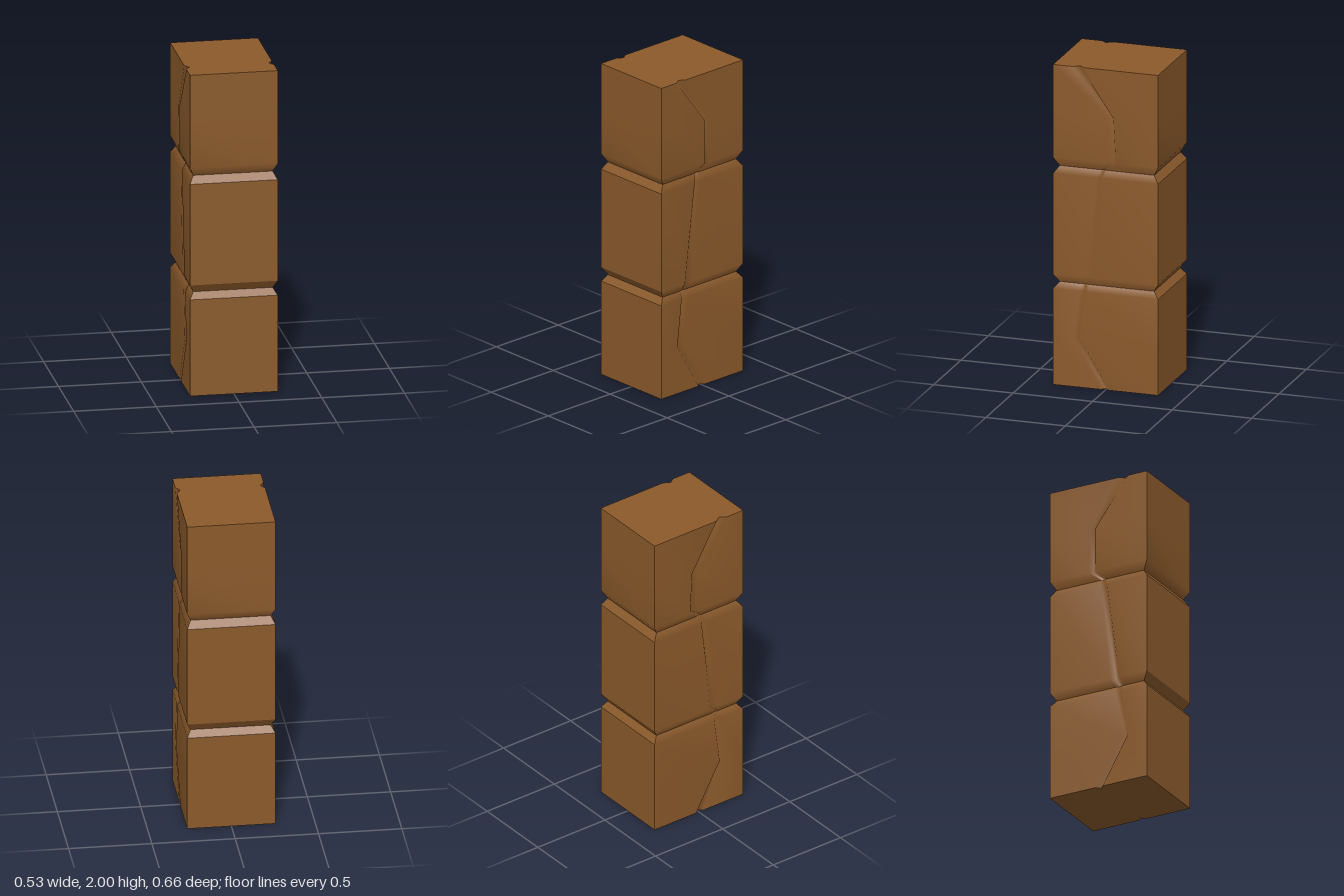
import * as THREE from 'three';

const HALF_X = 0.265, HALF_Z = 0.33;

// Each row: [y, groove amount 0..1, crack front edge z, crack back edge z]
const BLOCKS = [
  { name: 'lowerBlock', rows: [[0.64, 1, 0.16, 0.11], [0.6, 0, 0.165, 0.115], [0.3, 0, 0.2, 0.155], [0, 0, 0.03, -0.02]] },
  { name: 'middleBlock', rows: [[1.365, 1, 0.04, 0], [1.32, 0, 0.06, 0.02], [0.69, 0, 0.14, 0.08], [0.64, 1, 0.16, 0.11]] },
  { name: 'upperBlock', smoothFaces: true, rows: [[2, 0, 0.207, 0.133], [1.7, 0, -0.02, -0.05], [1.42, 0, -0.02, -0.065], [1.365, 1, 0.04, 0]] },
];

// Points of the cracked +x side, running from front to back
function sidePoints([y, groove, front, back]) {
  const x = HALF_X - 0.025 * groove, z = HALF_Z - 0.033 * groove;
  const depth = groove ? 0.006 : 0.025;
  return [[x, y, z], [x, y, front], [x - depth, y, (front + back) / 2], [x, y, back], [x, y, -z]];
}

// Points across the front face, running from -x to +x
function facePoints([y, groove]) {
  const x = HALF_X - 0.025 * groove, z = HALF_Z - 0.033 * groove;
  return [[-x, y, z], [x, y, z]];
}

// Mirror a row of points along one axis and keep it facing outwards
const mirrorRow = (row, axis) =>
  row.map((p) => p.map((v, i) => (i === axis ? -v : v))).reverse();

// Surface through rows listed top to bottom, each left to right
function panel(rows, smooth) {
  const n = rows[0].length, index = [];
  for (let r = 0; r < rows.length - 1; r++) {
    for (let c = 0; c < n - 1; c++) {
      const a = r * n + c, b = a + n;
      index.push(a, b, b + 1, a, b + 1, a + 1);
    }
  }
  let geo = new THREE.BufferGeometry();
  geo.setAttribute('position', new THREE.Float32BufferAttribute(rows.flat(2), 3));
  geo.setIndex(index);
  if (!smooth) geo = geo.toNonIndexed();
  geo.computeVertexNormals();
  return geo;
}

// Flat end following the notched outline
function cap(row, up) {
  const side = sidePoints(row);
  const outline = [...side, ...mirrorRow(side, 0)];
  const index = [];
  outline.forEach((_, i) => {
    const j = (i + 1) % outline.length;
    index.push(0, ...(up ? [i + 1, j + 1] : [j + 1, i + 1]));
  });
  const geo = new THREE.BufferGeometry();
  geo.setAttribute('position', new THREE.Float32BufferAttribute([[0, row[0], 0], ...outline].flat(), 3));
  geo.setIndex(index);
  geo.computeVertexNormals();
  return geo;
}

export function createModel() {
  const model = new THREE.Group();
  model.name = 'crackedPillar';
  const material = new THREE.MeshStandardMaterial({ color: 0x8b5a2b });
  const add = (parent, name, geo) => {
    const mesh = new THREE.Mesh(geo, material);
    mesh.name = name;
    parent.add(mesh);
  };

  // Three stacked blocks separated by V grooves
  for (const { name, rows, smoothFaces } of BLOCKS) {
    const block = new THREE.Group();
    block.name = name;
    const sides = rows.map(sidePoints), faces = rows.map(facePoints);
    add(block, 'leftCrackedSide', panel(sides, true));
    add(block, 'rightCrackedSide', panel(sides.map((r) => mirrorRow(r, 0)), true));
    add(block, 'frontFace', panel(faces, smoothFaces));
    add(block, 'backFace', panel(faces.map((r) => mirrorRow(r, 2)), smoothFaces));
    model.add(block);
  }

  // Ends of the pillar
  add(model, 'topFace', cap(BLOCKS[2].rows[0], true));
  add(model, 'bottomFace', cap(BLOCKS[0].rows[3], false));
  return model;
}
